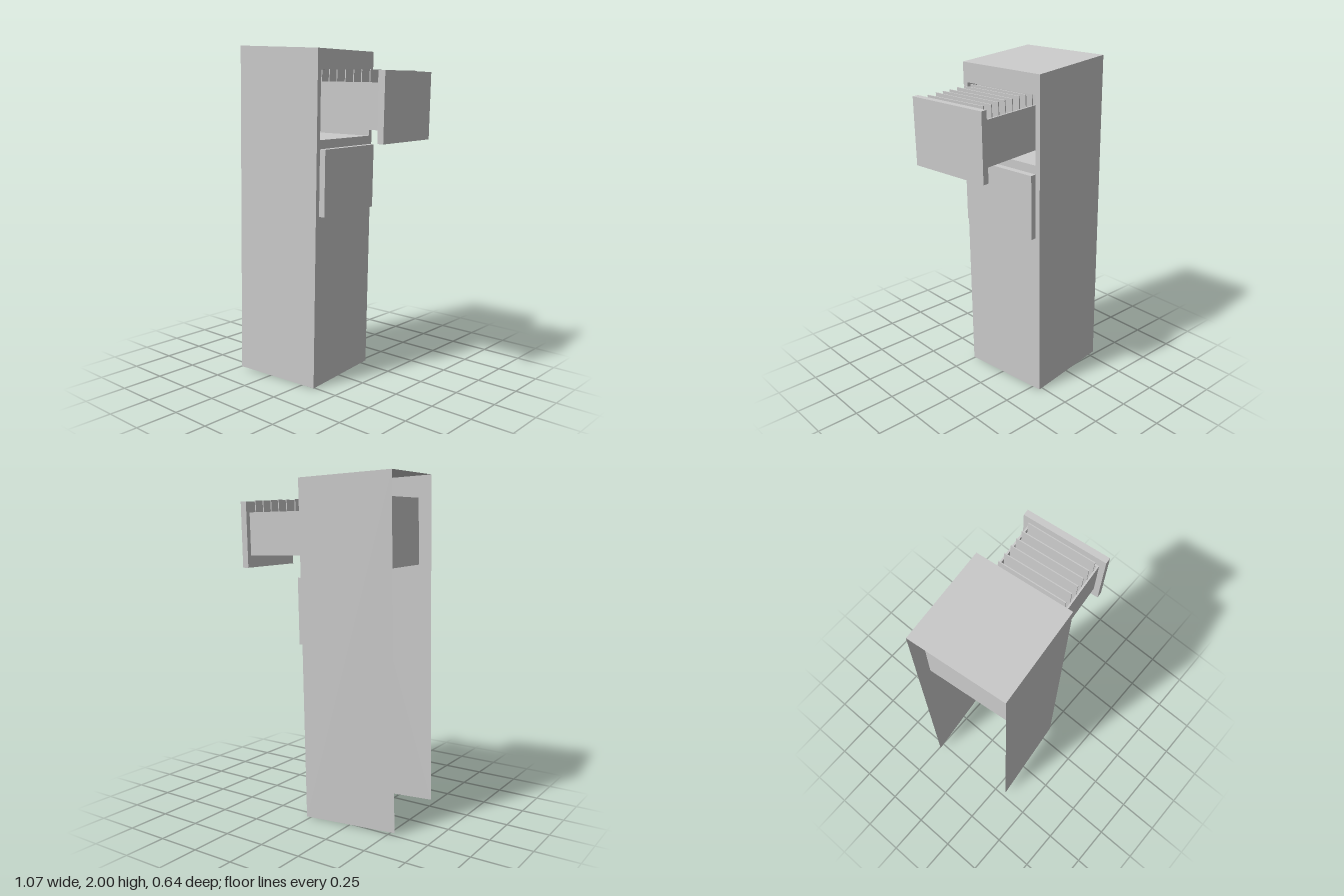
import * as THREE from 'three';

const mat = new THREE.MeshStandardMaterial({ color: 0xcccccc, flatShading: true, side: THREE.DoubleSide });

const W = 0.565, H = 1.985, FRONT = W / 2; // cabinet footprint, height, front plane
const PLATE_W = 0.505, PLATE_H = 0.385, PLATE_T = 0.037;
const HOLE_Y = 1.463, LOW_Y = 1.027;

function add(parent, name, geo, x = 0, y = 0, z = 0) {
  const m = new THREE.Mesh(geo, mat);
  m.name = name;
  m.position.set(x, y, z);
  parent.add(m);
  return m;
}

const box = (w, h, d) => new THREE.BoxGeometry(w, h, d);

// Box without some faces; face order is +x, -x, +y, -y, +z, -z
function openBox(w, h, d, removed) {
  const g = box(w, h, d);
  g.setIndex(Array.from(g.index.array).filter((_, i) => !removed.includes(Math.floor(i / 6))));
  return g;
}

export function createModel() {
  const root = new THREE.Group();
  root.name = 'filingCabinet';
  const cabinet = new THREE.Group();
  cabinet.name = 'cabinet';
  cabinet.position.set(-0.224, 0.009, 0.009);
  cabinet.rotation.set(0, 0.11, -0.021); // turned and leaning slightly
  root.add(cabinet);

  // Sheet shell: two sides and a top that slopes down to the front; back and base open
  const shell = openBox(W, H, W, [0, 1, 3]);
  const p = shell.attributes.position;
  for (let i = 0; i < p.count; i++) {
    if (p.getY(i) > 0 && p.getX(i) > 0) p.setY(i, p.getY(i) - 0.018);
  }
  add(cabinet, 'shell', shell, 0, H / 2, 0);

  // Front panel with the opening of the upper drawer
  const front = new THREE.Shape();
  const h = W / 2, k = PLATE_W / 2, topY = H - 0.018;
  front.moveTo(-h, 0).lineTo(h, 0).lineTo(h, topY).lineTo(-h, topY).closePath();
  const hole = new THREE.Path();
  hole.moveTo(-k, HOLE_Y).lineTo(-k, HOLE_Y + PLATE_H + 0.005)
    .lineTo(k, HOLE_Y + PLATE_H + 0.005).lineTo(k, HOLE_Y).closePath();
  front.holes.push(hole);
  add(cabinet, 'frontPanel', new THREE.ShapeGeometry(front), FRONT, 0, 0).rotation.y = Math.PI / 2;

  // Recess behind the opening
  const depth = 0.498;
  add(cabinet, 'drawerRecess', openBox(depth, PLATE_H + 0.005, PLATE_W, [0]),
    FRONT - depth / 2, HOLE_Y + (PLATE_H + 0.005) / 2, 0);

  // Closed lower drawer
  add(cabinet, 'lowerDrawerFront', box(PLATE_T, PLATE_H, PLATE_W), FRONT + PLATE_T / 2, LOW_Y + PLATE_H / 2, 0);

  // Open upper drawer: front plate and tray
  const drawer = new THREE.Group();
  drawer.name = 'upperDrawer';
  cabinet.add(drawer);
  const x0 = 0.16, x1 = 0.658, y0 = 1.535, y1 = 1.787, t = 0.01, trayW = 0.438;
  const len = x1 - x0, midX = (x0 + x1) / 2, midY = (y0 + y1) / 2;
  add(drawer, 'upperDrawerFront', box(PLATE_T, PLATE_H, PLATE_W), x1 + PLATE_T / 2, 1.465 + PLATE_H / 2, 0);
  add(drawer, 'trayBase', box(len, t, trayW), midX, y0 + t / 2, 0);
  for (const s of [-1, 1]) {
    add(drawer, 'traySide', box(len, y1 - y0, t), midX, midY, s * (trayW - t) / 2);
  }
  for (const x of [x0 + t / 2, x1 - t / 2]) {
    add(drawer, 'trayEnd', box(t, y1 - y0, trayW - 2 * t), x, midY, 0);
  }

  // Row of hanging files, each a little askew
  for (let i = -2; i < 7; i++) {
    const file = add(drawer, 'file', box(0.006, 0.3, 0.408), 0.3 + 0.0536 * i, 1.704, 0);
    file.rotation.set(0.008 * Math.sin(i * 2.3), 0, -0.03 + 0.015 * Math.sin(i * 1.7));
  }

  return root;
}
